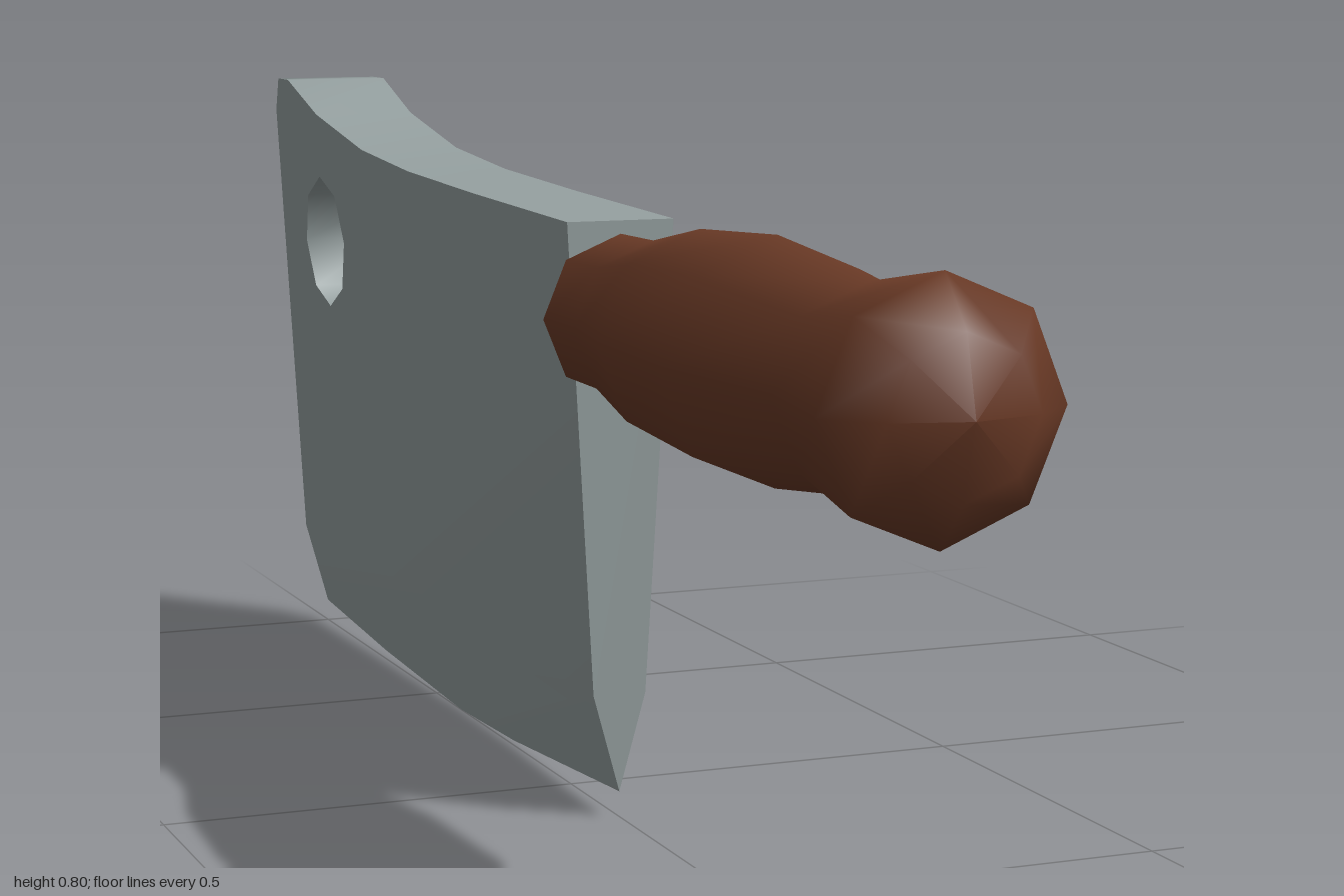
import * as THREE from 'three';
import { mergeGeometries, toCreasedNormals } from 'three/addons/utils/BufferGeometryUtils.js';

const FRONT = 0.155;   // z of the blade's handle end
const BEVEL = 0.145;   // height where the cutting bevel starts
const BEVEL_HALF = 0.032;

// Extrude a (z, y) outline sideways, then set its half thickness by rule.
function slab(shape, halfWidth) {
  const geo = new THREE.ExtrudeGeometry(shape, { depth: 2, bevelEnabled: false });
  geo.translate(0, 0, -1).rotateY(-Math.PI / 2);
  const p = geo.attributes.position;
  for (let i = 0; i < p.count; i++) {
    p.setX(i, Math.sign(p.getX(i)) * halfWidth(p.getY(i)));
  }
  // Drop collapsed triangles and the hidden seam at the bevel height
  const kept = [];
  const tri = new THREE.Triangle();
  for (let i = 0; i < p.count; i += 3) {
    tri.setFromAttributeAndIndices(p, i, i + 1, i + 2);
    const corners = [tri.a, tri.b, tri.c];
    const seam = corners.every(v => Math.abs(v.y - BEVEL) < 1e-4);
    if (!seam && tri.getArea() > 1e-7) corners.forEach(v => kept.push(v.x, v.y, v.z));
  }
  const out = new THREE.BufferGeometry();
  out.setAttribute('position', new THREE.Float32BufferAttribute(kept, 3));
  return out;
}

const outline = pts => new THREE.Shape(pts.map(([z, y]) => new THREE.Vector2(z, y)));

function createBlade(material) {
  // Body with the swept-up spine
  const body = outline([
    [-1, BEVEL], [FRONT, BEVEL], [FRONT, 0.69], [-0.15, 0.698], [-0.405, 0.707],
    [-0.6, 0.722], [-0.8, 0.758], [-0.93, 0.8], [-0.978, 0.8], [-1, 0.755],
  ]);
  // Eight-sided hanging hole
  const hole = [];
  for (let i = 0; i < 8; i++) {
    const a = -i * Math.PI / 4 + 0.06;
    hole.push(new THREE.Vector2(-0.8 + 0.09 * Math.cos(a), 0.582 + 0.09 * Math.sin(a)));
  }
  body.holes.push(new THREE.Path(hole));

  // Curved cutting edge, tapering to nothing
  const edge = outline([
    [FRONT, BEVEL], [-1, BEVEL], [-1, 0.03], [-0.72, 0.012],
    [-0.4, 0], [-0.2, 0.006], [FRONT, 0.03],
  ]);

  const geo = mergeGeometries([
    slab(body, y => BEVEL_HALF + (y - BEVEL) * 0.0595),
    slab(edge, y => (y > BEVEL - 0.01 ? BEVEL_HALF : 0)),
  ]);
  const blade = new THREE.Mesh(toCreasedNormals(geo, 1.25), material);
  blade.name = 'blade';
  return blade;
}

function createHandle(material) {
  const handle = new THREE.Group();
  handle.name = 'handle';
  handle.position.y = 0.582;

  // Turned grip with a rounded pommel: radius, z
  const profile = [
    [0.093, FRONT], [0.094, 0.25], [0.118, 0.38], [0.129, 0.575],
    [0.104, 0.785], [0.129, 0.935], [0.078, 0.98], [0, 1],
  ].map(([r, z]) => new THREE.Vector2(r, z));
  const grip = new THREE.Mesh(new THREE.LatheGeometry(profile, 8).rotateX(Math.PI / 2), material);
  grip.name = 'grip';

  // Flat end against the blade
  const end = new THREE.Mesh(new THREE.CircleGeometry(0.093, 8).rotateY(Math.PI), material);
  end.name = 'gripEnd';
  end.position.z = FRONT;

  handle.add(grip, end);
  return handle;
}

export function createModel() {
  const steel = new THREE.MeshStandardMaterial({ color: 0x95a0a0 });
  steel.name = 'steel';
  const wood = new THREE.MeshStandardMaterial({ color: 0x6a3a26 });
  wood.name = 'wood';

  const model = new THREE.Group();
  model.name = 'cleaver';
  model.add(createBlade(steel), createHandle(wood));
  return model;
}
